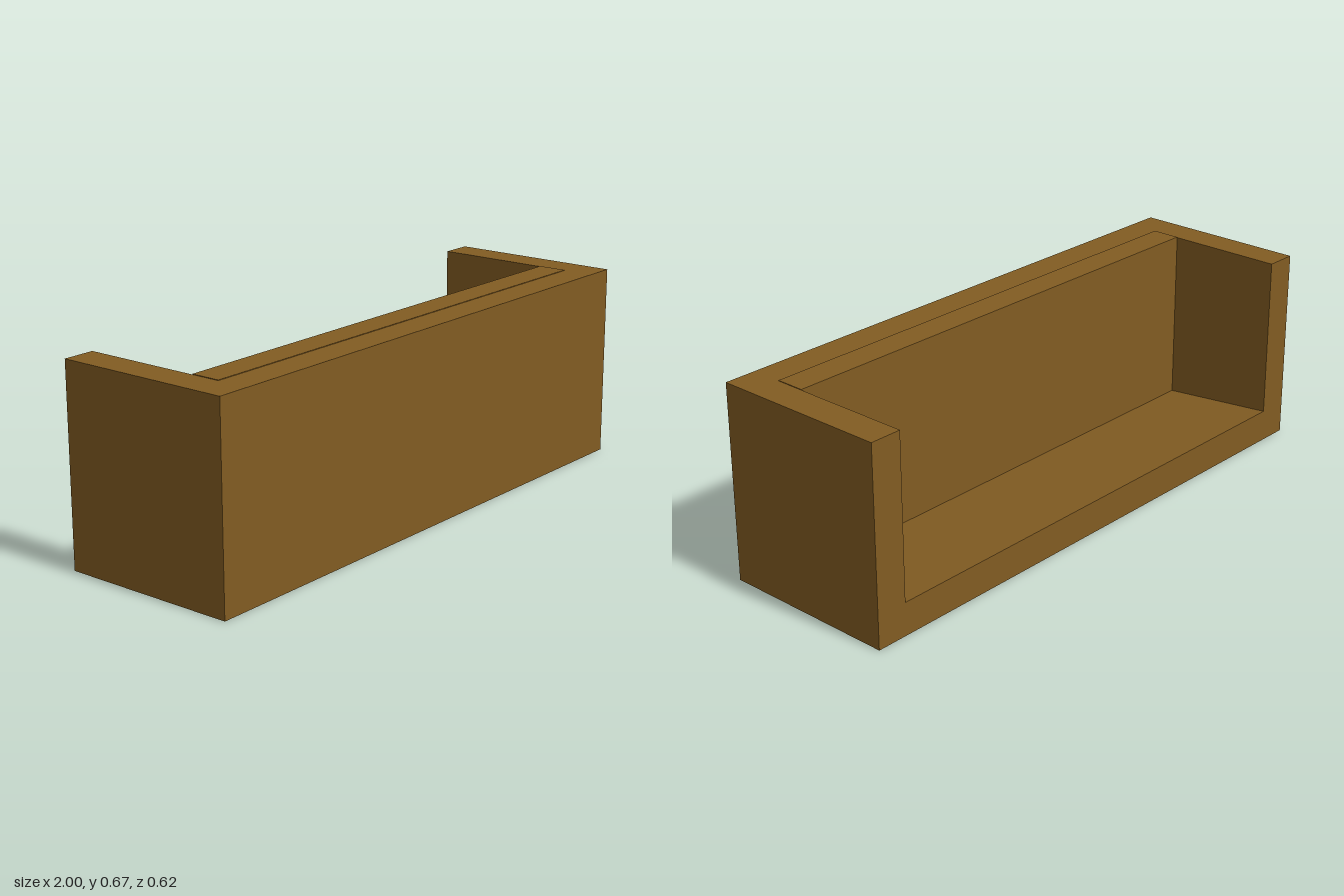
import * as THREE from 'three';

const W = 2, H = 0.665, D = 0.615;   // overall size
const ARM = 0.11;                    // arm thickness
const BACK_Z = -D / 2, FRONT_Z = D / 2;
const PAD_Z = 0.1, PANEL_Z = 0.2;    // inner faces of the pad and outer panel

export function createModel() {
  const group = new THREE.Group();
  const brown = new THREE.MeshStandardMaterial({ color: 0x825c22 });
  brown.name = 'brown';

  const add = (name, geometry) => {
    const mesh = new THREE.Mesh(geometry, brown);
    mesh.name = name;
    group.add(mesh);
    return mesh;
  };
  const box = (name, x0, x1, y1, z0, z1) =>
    add(name, new THREE.BoxGeometry(x1 - x0, y1, z1 - z0))
      .position.set((x0 + x1) / 2, y1 / 2, (z0 + z1) / 2);

  const inner = W / 2 - ARM;

  // Side arms
  box('rightArm', -W / 2, -inner, H, BACK_Z, FRONT_Z);
  box('leftArm', inner, W / 2, H, BACK_Z, FRONT_Z);

  // Tall outer panel and the pad behind it, a hair higher
  box('outerPanel', -inner, inner, H, PANEL_Z, FRONT_Z);
  box('backrestPad', -inner, inner, H + 0.002, PAD_Z, PANEL_Z);

  // Seat that slopes down toward the pad: side profile in (z, y), swept along x
  const profile = new THREE.Shape([
    new THREE.Vector2(-BACK_Z, 0),
    new THREE.Vector2(-BACK_Z, 0.112),
    new THREE.Vector2(-PAD_Z, 0.072),
    new THREE.Vector2(-PAD_Z, 0),
  ]);
  const seat = new THREE.ExtrudeGeometry(profile, { depth: 2 * inner, bevelEnabled: false });
  seat.rotateY(Math.PI / 2);         // profile x becomes -z, depth becomes x
  seat.translate(-inner, 0, 0);
  add('seat', seat);

  return group;
}
